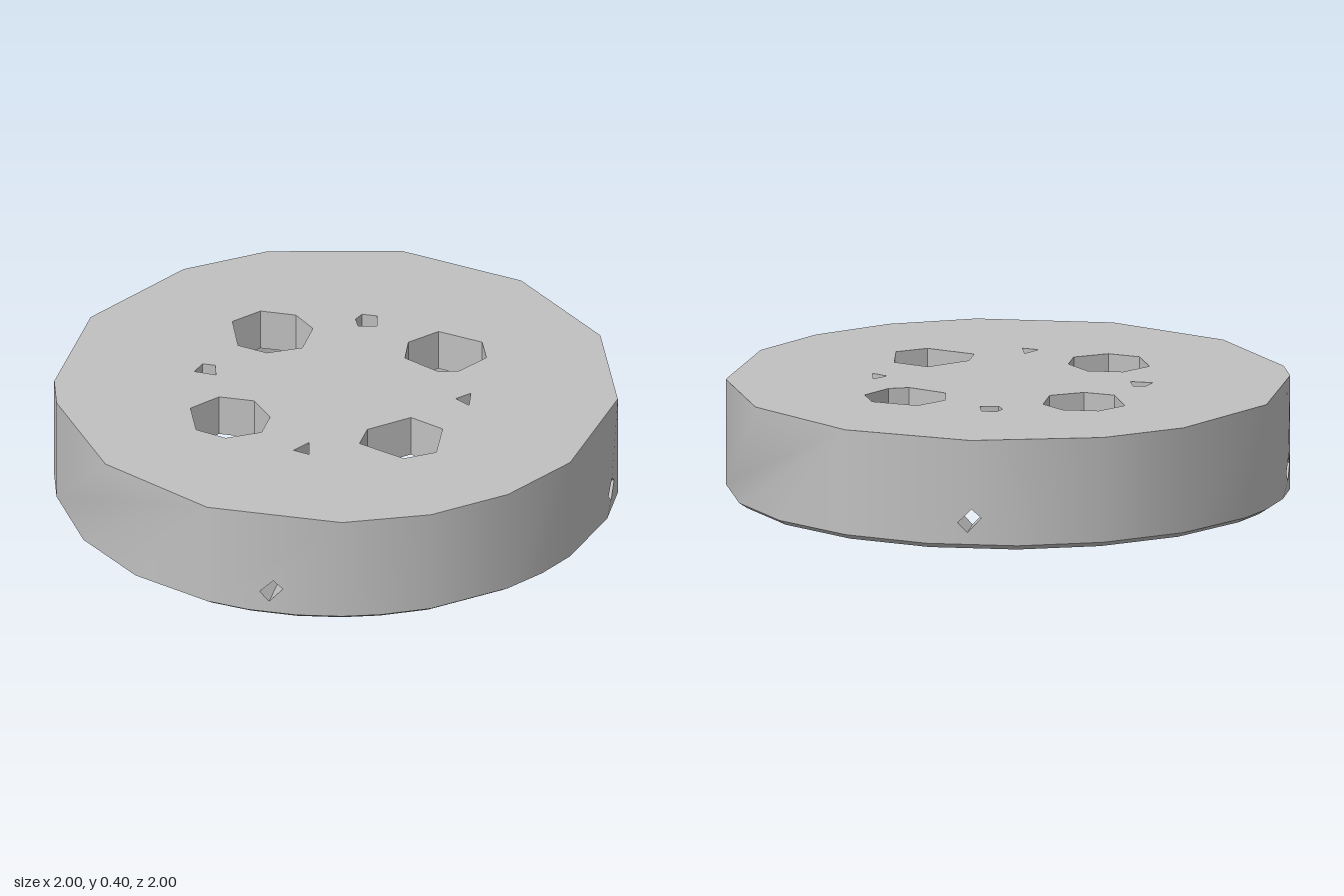
import * as THREE from 'three';

const HEIGHT = 0.4, CEILING = 0.25, BEVEL = 0.02, INNER = 0.86;
const rad = THREE.MathUtils.degToRad;

// Corner angles of the uneven rims, in degrees from +z towards +x
const topAngles = [-14, 14.3, 32.8, 50.6, 69, 97.4, 124.3, 152.5, 180, 207.4, 226.1, 253.8, 281.7, 290.7, 318.3, 346];
const lowAngles = [-14, -5, 5, 14.3, 22.4, 32.8, 50.6, 60, 69, 86.6, 97.4, 115.6, 133.5, 152.5, 171, 189.6, 207.4,
  226.1, 245, 253.8, 264, 273.4, 281.7, 290.7, 309.6, 327.9, 346];

// Plate openings as [x, z] corners
const largeHoles = [
  [[-.385, -.46], [-.257, -.46], [-.176, -.38], [-.18, -.235], [-.294, -.17], [-.406, -.2], [-.465, -.364]],
  [[-.385, .18], [-.257, .18], [-.176, .28], [-.18, .395], [-.294, .465], [-.41, .43], [-.465, .283]],
  [[.262, -.46], [.43, -.42], [.47, -.315], [.4, -.2], [.33, -.176], [.19, -.246], [.176, -.36]],
  [[.31, .17], [.438, .225], [.455, .395], [.353, .465], [.176, .395], [.18, .29]],
];
const smallHoles = [
  [[-.03, -.52], [.025, -.52], [.04, -.45], [-.025, -.435], [-.045, -.48]],
  [[-.497, -.04], [-.45, -.04], [-.433, .027], [-.513, .02]],
  [[.476, -.05], [.433, 0], [.49, .037]],
  [[0, .43], [-.04, .497], [.02, .513]],
];
// Small diamond opening through the wall, as [sideways, y]
const sideHole = [[-.045, .1], [-.01, .065], [.04, .12], [.005, .15]];

const onRing = (a, r, y) => new THREE.Vector3(Math.sin(a) * r, y, Math.cos(a) * r);

function ccw(points) {
  return THREE.ShapeUtils.isClockWise(points) ? points.reverse() : points;
}

// Fill a 2D outline with holes and place its corners in space
function fill(out, contour, holes, place, flip) {
  const points = [contour, ...holes].flat();
  for (const [a, b, c] of THREE.ShapeUtils.triangulateShape(contour, holes)) {
    for (const i of flip ? [a, c, b] : [a, b, c]) out.push(place(points[i]));
  }
}

// Closed strip between two loops, facing away from or into the loop
function band(out, upper, lower, inward) {
  upper.forEach((a, i) => {
    const j = (i + 1) % upper.length;
    const [b, c, d] = [upper[j], lower[j], lower[i]];
    out.push(...(inward ? [b, c, d, b, d, a] : [d, c, b, a, d, b]));
  });
}

export function createModel() {
  const group = new THREE.Group();
  const grey = new THREE.MeshStandardMaterial({ color: 0xc0c0c0 });
  grey.name = 'plain grey';

  // smooth: 1 for radial normals outwards, -1 inwards, 0 for flat faces
  function addMesh(name, points, smooth = 0) {
    const geometry = new THREE.BufferGeometry().setFromPoints(points);
    if (smooth) {
      const normals = points.map(p => new THREE.Vector3(p.x, 0, p.z).normalize().multiplyScalar(smooth));
      geometry.setAttribute('normal', new THREE.Float32BufferAttribute(normals.flatMap(n => n.toArray()), 3));
    } else geometry.computeVertexNormals();
    const mesh = new THREE.Mesh(geometry, grey);
    mesh.name = name;
    group.add(mesh);
  }

  // Upright wall, built in sectors between the corners shared by both rims
  function wall(name, r, low, high, flip) {
    const points = [];
    const seams = topAngles.filter(a => lowAngles.includes(a));
    for (let s = 0; s < seams.length - 1; s++) {
      const inside = a => a >= seams[s] && a <= seams[s + 1];
      const contour = [
        ...lowAngles.filter(inside).map(a => new THREE.Vector2(rad(a), low)),
        ...topAngles.filter(inside).reverse().map(a => new THREE.Vector2(rad(a), high)),
      ];
      const holes = [0, 90, 180, 270].filter(inside).map(c =>
        sideHole.map(([u, y]) => new THREE.Vector2(rad(c) + u / r, y)));
      fill(points, contour, holes, p => onRing(p.x, r, p.y), flip);
    }
    addMesh(name, points, flip ? -1 : 1);
  }
  wall('outerWall', 1, BEVEL, HEIGHT, false);
  wall('innerWall', INNER, 0, CEILING, true);

  // Top plate and the ceiling of the recess below it
  const plateLoops = [...largeHoles, ...smallHoles].map(h => ccw(h.map(([x, z]) => new THREE.Vector2(x, -z))));
  function plate(name, r, y, flip) {
    const points = [];
    const contour = topAngles.slice(0, -1).map(a => new THREE.Vector2(Math.sin(rad(a)) * r, -Math.cos(rad(a)) * r));
    fill(points, contour, plateLoops, p => new THREE.Vector3(p.x, y, -p.y), flip);
    addMesh(name, points);
  }
  plate('topPlate', 1, HEIGHT, false);
  plate('recessCeiling', INNER, CEILING, true);

  // Linings of the plate openings
  plateLoops.forEach((loop, i) => {
    const points = [];
    const at = y => loop.map(p => new THREE.Vector3(p.x, y, -p.y));
    band(points, at(HEIGHT), at(CEILING), true);
    addMesh(i < largeHoles.length ? 'largeHoleLining' : 'smallHoleLining', points);
  });

  // Linings of the four wall openings
  for (const c of [0, 90, 180, 270]) {
    const points = [];
    const at = r => sideHole.map(([u, y]) => onRing(rad(c) + u / r, r, y));
    band(points, at(1), at(INNER), true);
    addMesh('sideHoleLining', points);
  }

  // Bevelled lower edge and flat bottom rim
  const ring = (r, y) => lowAngles.slice(0, -1).map(a => onRing(rad(a), r, y));
  const bevel = [], rim = [];
  band(bevel, ring(1, BEVEL), ring(0.97, 0), false);
  band(rim, ring(0.97, 0), ring(INNER, 0), false);
  addMesh('lowerBevel', bevel);
  addMesh('bottomRim', rim);

  return group;
}
